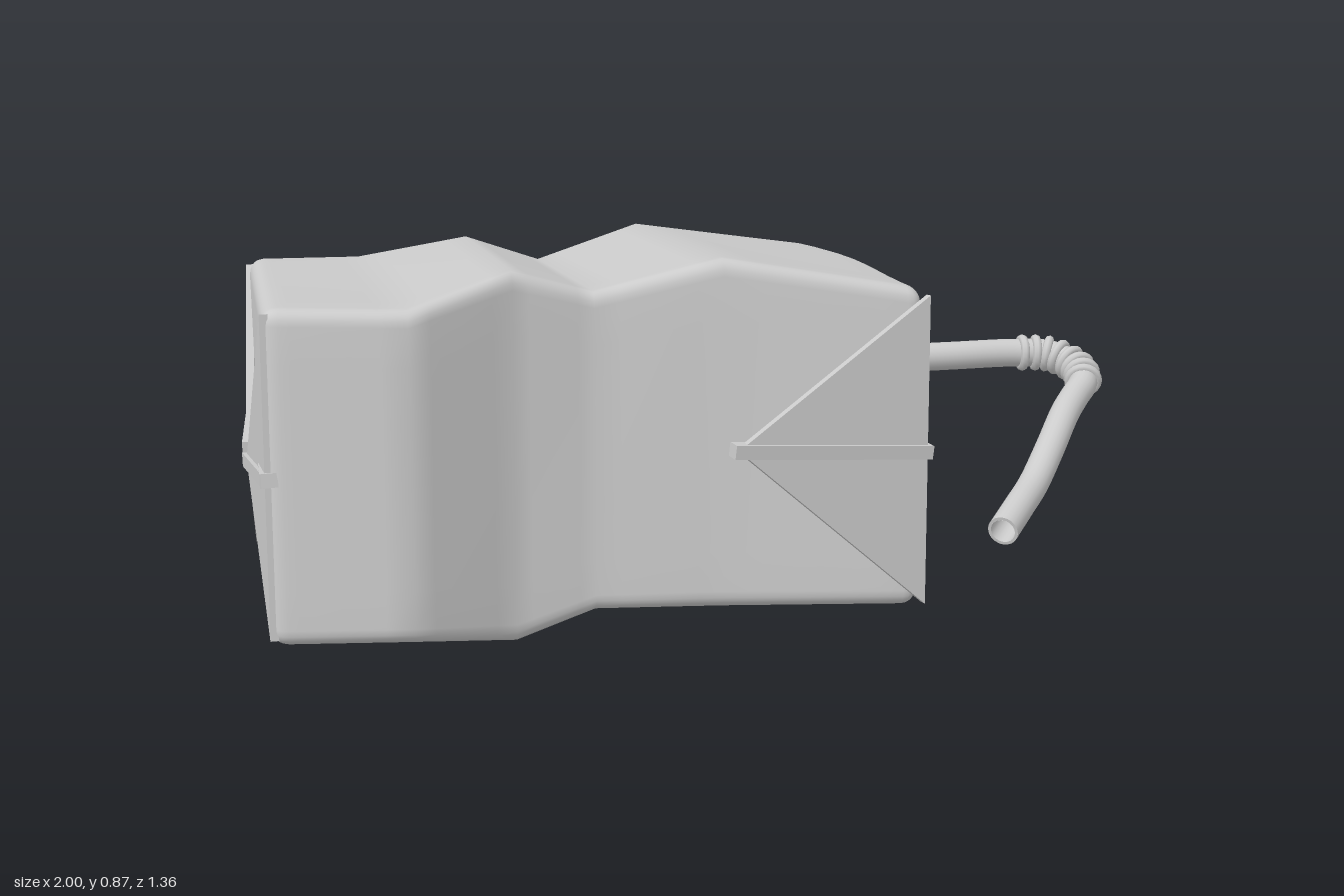
import * as THREE from 'three';
import { mergeVertices } from 'three/addons/utils/BufferGeometryUtils.js';
import { ConvexGeometry } from 'three/addons/geometries/ConvexGeometry.js';

const V = (x, y, z) => new THREE.Vector3(x, y, z);
const grey = new THREE.MeshStandardMaterial({ color: 0xcccccc });
const greyFlat = new THREE.MeshStandardMaterial({ color: 0xcccccc, flatShading: true });
const greyOpen = new THREE.MeshStandardMaterial({ color: 0xcccccc, side: THREE.DoubleSide });

// Unbent carton size and corner rounding
const L = 1.36, H = 0.68, W = 0.9, R = 0.035;

// Dented stations along the carton:
// distance, front x, front z, back x, back z, top y and bottom y at the front
const stations = [
  [0.00, -0.71, 0.615, -0.985, -0.23, 0.835, 0.135],
  [0.28, -0.42, 0.555, -0.75, -0.34, 0.825, 0.13],
  [0.50, -0.24, 0.37, -0.49, -0.37, 0.873, 0.072],
  [0.66, -0.08, 0.285, -0.32, -0.40, 0.815, 0.12],
  [0.92, 0.19, 0.22, -0.10, -0.545, 0.88, 0.113],
  [1.36, 0.615, 0.15, 0.32, -0.685, 0.81, 0.11],
];

// Places a point of the unbent carton (length, height, depth from the front) in the crushed shape
function crush(a, h, d) {
  let i = 0;
  while (i < 4 && a > stations[i + 1][0]) i++;
  const t = (a - stations[i][0]) / (stations[i + 1][0] - stations[i][0]);
  const [, fx, fz, bx, bz, top, bottom] = stations[i].map((n, k) => THREE.MathUtils.lerp(n, stations[i + 1][k], t));
  const u = d / W, v = h / H;
  const bulge = i === 4 ? 0.045 * 6.75 * u * u * (1 - u) * t * t : 0;
  return V(
    fx + (bx - fx) * u + bulge + 0.01 * (1 - v),
    bottom + (top - bottom) * v - 0.07 * u,
    fz + (bz - fz) * u + 0.065 * (1 - v),
  );
}

// Grid lines: tight at the rounded edges, spread between
function gridLines(size, inner) {
  const edge = [0, 0.3, 0.6, 1].map((k) => k * R);
  return [...edge, ...inner, ...edge.map((e) => size - e).reverse()];
}

function carton() {
  const even = (size, n) => Array.from({ length: n }, (_, i) => (size * (i + 1)) / (n + 1));
  const along = [];
  for (let i = 0; i < 5; i++) {
    const a = stations[i][0], b = stations[i + 1][0];
    for (const t of [0, 0.2, 0.5, 0.8]) if (i || t) along.push(a + (b - a) * t);
  }
  const lines = [gridLines(L, along), gridLines(H, even(H, 5)), gridLines(W, even(W, 7))];
  const sizes = [L, H, W];
  const n = lines.map((l) => l.length - 1);
  const geo = new THREE.BoxGeometry(1, 1, 1, ...n);
  geo.deleteAttribute('uv');
  geo.deleteAttribute('normal');
  const pos = geo.attributes.position;
  for (let i = 0; i < pos.count; i++) {
    // depth is counted from the front, so z is reversed
    const raw = [pos.getX(i), pos.getY(i), -pos.getZ(i)];
    const p = V(...raw.map((c, k) => lines[k][Math.round((c + 0.5) * n[k])]));
    const core = V(...p.toArray().map((c, k) => THREE.MathUtils.clamp(c, R, sizes[k] - R)));
    p.sub(core).setLength(R).add(core);
    pos.setXYZ(i, ...crush(p.x, p.y, p.z).toArray());
  }
  const merged = mergeVertices(geo, 1e-5);
  merged.computeVertexNormals();
  return new THREE.Mesh(merged, grey);
}

// Thin triangular folded ear
function ear(top, bottom, tip) {
  const normal = V(0, 0, 0).crossVectors(bottom.clone().sub(top), tip.clone().sub(top)).setLength(0.009);
  const pts = [top, bottom, tip].flatMap((p) => [p.clone().add(normal), p.clone().sub(normal)]);
  return new THREE.Mesh(new ConvexGeometry(pts), greyFlat);
}

// Flat seam strip from a to b
function strip(a, b, thick = 0.022) {
  const mesh = new THREE.Mesh(new THREE.BoxGeometry(thick, 0.03, a.distanceTo(b)), greyFlat);
  mesh.position.copy(a).lerp(b, 0.5);
  mesh.lookAt(b);
  return mesh;
}

export function createModel() {
  const model = new THREE.Group();
  const add = (name, mesh) => { mesh.name = name; model.add(mesh); };

  add('carton', carton());

  // Ears: two folded against the long sides, two folded onto the left end
  const ears = [
    ['frontEar', L, 0, V(0.235, 0.51, 0.405), V(0.008, 0, 0.008)],
    ['backEar', L, W, V(-0.11, 0.415, -0.59), V(0, 0, 0.005)],
    ['endFrontEar', 0, 0, V(-0.835, 0.43, 0.32), V(0.005, 0, -0.01)],
    ['endBackEar', 0, W, V(-0.885, 0.41, 0.16), V(0.008, 0, 0.02)],
  ];
  for (const [name, a, d, tip, shift] of ears) {
    const corner = (h) => crush(a, h, d).add(shift);
    add(name, ear(corner(H - 0.012), corner(0.012), tip));
    const mid = corner(H / 2);
    const over = tip.clone().sub(mid).setLength(0.01);
    add(name + 'Seam', strip(mid.sub(over), tip.clone().add(over), 0.034));
  }

  // Seams across both ends
  for (const [name, a] of [['rightEndSeam', L], ['leftEndSeam', 0]]) {
    const seam = new THREE.Group();
    for (let i = 0; i < 6; i++) {
      seam.add(strip(crush(a, H / 2, (W * i) / 6), crush(a, H / 2, (W * (i + 1)) / 6)));
    }
    add(name, seam);
  }

  // Bent drinking straw, open at its end
  const path = new THREE.CatmullRomCurve3([
    V(0.52, 0.628, 0.06), V(0.68, 0.627, 0.002), V(0.83, 0.625, -0.052), V(0.90, 0.622, -0.058),
    V(0.955, 0.605, -0.015), V(0.967, 0.588, 0.05), V(0.945, 0.57, 0.11), V(0.922, 0.55, 0.17),
    V(0.885, 0.5, 0.28), V(0.848, 0.452, 0.38), V(0.815, 0.43, 0.47), V(0.78, 0.408, 0.565),
  ], false, 'centripetal');
  add('straw', new THREE.Mesh(new THREE.TubeGeometry(path, 72, 0.031, 20), greyOpen));
  add('strawBore', new THREE.Mesh(new THREE.TubeGeometry(path, 72, 0.025, 20), greyOpen));
  const rim = new THREE.Mesh(new THREE.RingGeometry(0.025, 0.031, 20), greyOpen);
  rim.position.copy(path.getPoint(1));
  rim.lookAt(rim.position.clone().add(path.getTangent(1)));
  add('strawRim', rim);

  // Ribs of the flexible bend
  const ribs = new THREE.Group();
  for (let i = 0; i < 8; i++) {
    const t = (2.1 + (i * 2.8) / 7) / 11;
    const rib = new THREE.Mesh(new THREE.TorusGeometry(0.031, 0.01, 8, 20), grey);
    rib.position.copy(path.getPoint(t));
    rib.lookAt(rib.position.clone().add(path.getTangent(t)));
    ribs.add(rib);
  }
  add('strawRibs', ribs);

  return model;
}
